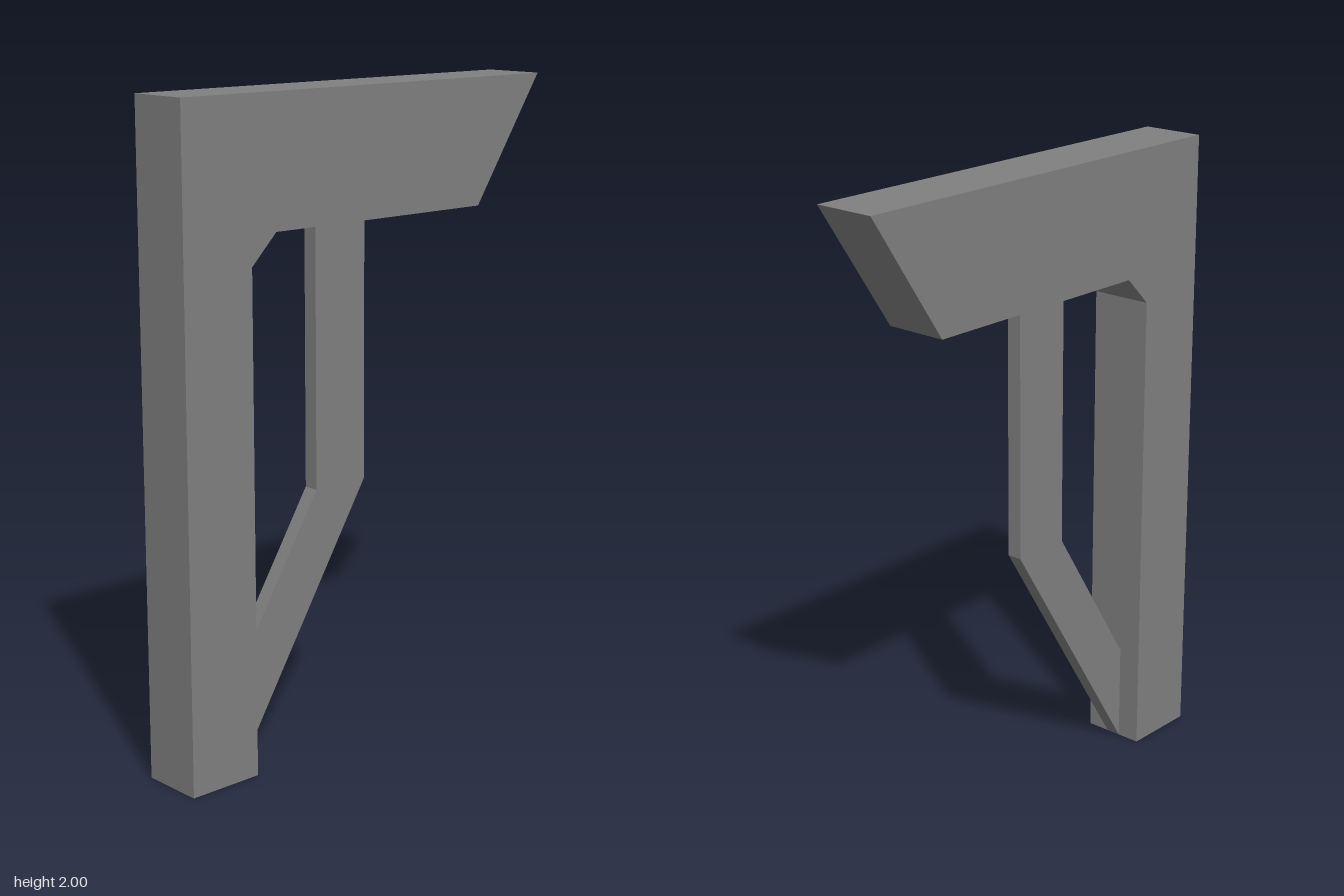
import * as THREE from 'three';

const grey = new THREE.MeshStandardMaterial({ color: 0x808080 });
grey.name = 'grey';

// Flat outline extruded to a given thickness, centred on z = 0
function plate(name, outline, thickness) {
  const shape = new THREE.Shape(outline.map(([x, y]) => new THREE.Vector2(x, y)));
  const geometry = new THREE.ExtrudeGeometry(shape, { depth: thickness, bevelEnabled: false });
  geometry.translate(0, 0, -thickness / 2);
  const mesh = new THREE.Mesh(geometry, grey);
  mesh.name = name;
  return mesh;
}

export function createModel() {
  const model = new THREE.Group();
  model.name = 'bracket';

  // Upright post and slanted-end arm in one piece, with a chamfered inner corner
  model.add(plate('postAndArm', [
    [-0.705, 0], [-0.463, 0], [-0.463, 1.519], [-0.373, 1.609],
    [0.445, 1.609], [0.705, 2], [-0.705, 2],
  ], 0.2));

  // Thin bent brace from the foot of the post to the underside of the arm
  model.add(plate('brace', [
    [-0.463, 0], [0.037, 0.803], [0.037, 1.609],
    [-0.158, 1.609], [-0.158, 0.803], [-0.463, 0.315],
  ], 0.048));

  return model;
}
